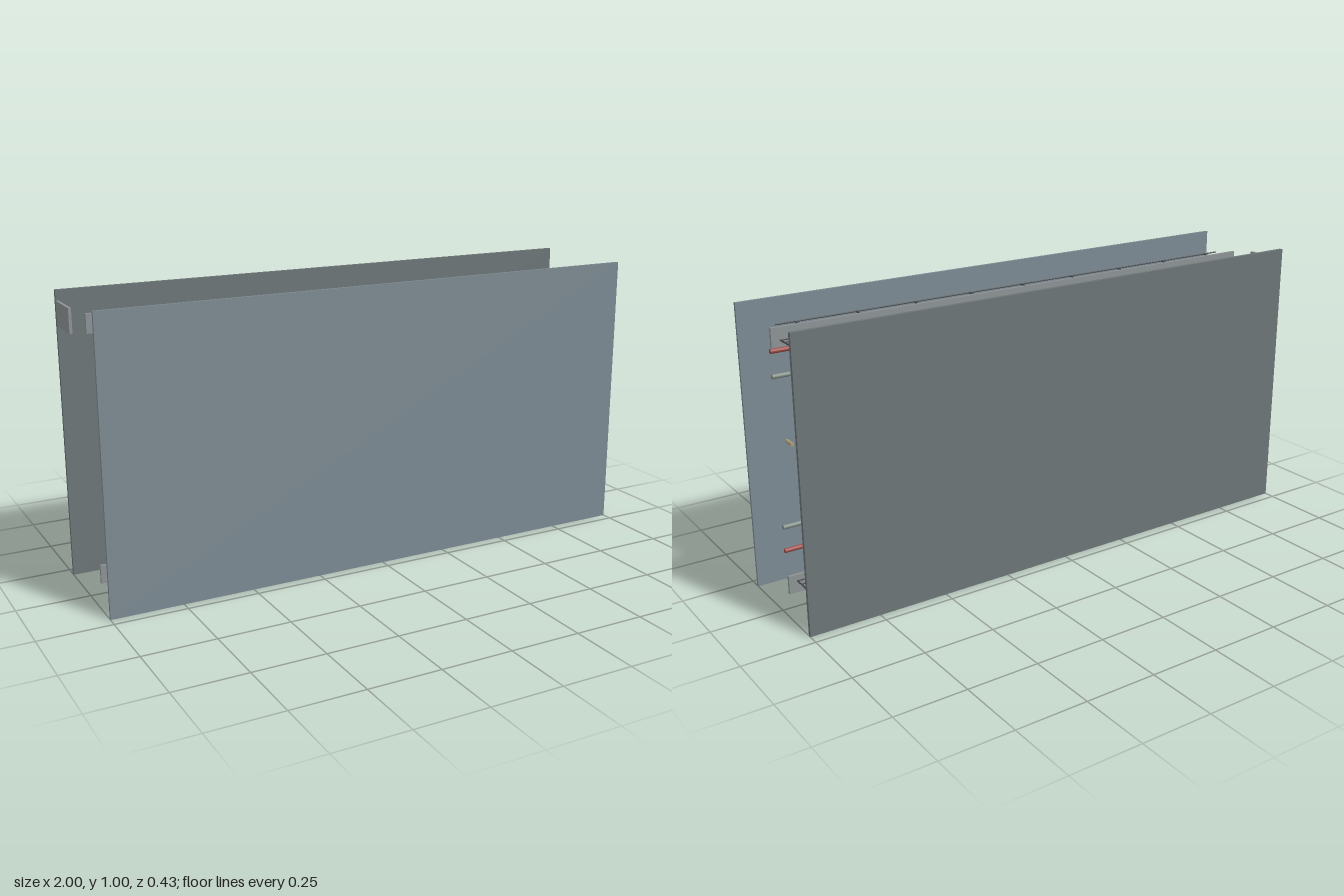
import * as THREE from 'three';

const mat = (color) => new THREE.MeshStandardMaterial({ color });

export function createModel() {
  const model = new THREE.Group();
  const frontMat = mat(0x7c8a92), wallMat = mat(0x6c7577), steel = mat(0x96a1a4), paleSteel = mat(0xa6afb3);
  const frameMat = mat(0x8c9294), dark = mat(0x4a4d50), red = mat(0x9c4a46), greyPipe = mat(0x7e8a84);
  const clampMat = mat(0x5e3434), brass = mat(0xa89a78);

  function add(name, geometry, material, x, y, z) {
    const mesh = new THREE.Mesh(geometry, material);
    mesh.name = name;
    mesh.position.set(x, y, z);
    model.add(mesh);
    return mesh;
  }
  const box = (name, w, h, d, m, x, y, z) => add(name, new THREE.BoxGeometry(w, h, d), m, x, y, z);
  // Cylinder lying along x
  const drum = (name, r, length, m, x, y, z, sides = 32) =>
    add(name, new THREE.CylinderGeometry(r, r, length, sides).rotateZ(Math.PI / 2), m, x, y, z);
  // Evenly spaced positions centred on zero
  const spread = (count, step) => Array.from({ length: count }, (_, i) => (i - (count - 1) / 2) * step);

  // Outer skin and inner wall
  box('frontPanel', 2, 1, 0.01, frontMat, 0, 0.5, 0.209);
  box('backWall', 2, 1, 0.013, wallMat, 0, 0.5, -0.2055);
  box('endPlate', 0.01, 0.084, 0.144, frameMat, -0.995, 0.922, -0.128);

  // Tanks and the segmented duct above them
  for (const x of spread(4, 0.4275)) {
    drum('tank', 0.117, 0.315, steel, x, 0.272, -0.036, 40);
    drum('ductSegment', 0.039, 0.406, paleSteel, x, 0.645, -0.127);
  }
  for (const x of spread(3, 0.499)) drum('upperDrum', 0.064, 0.14, paleSteel, x, 0.867, -0.127);

  for (const x of spread(5, 0.358)) {
    // Wall plates with their rollers
    box('wallPlate', 0.287, 0.142, 0.003, frameMat, x, 0.5, -0.195);
    drum('wallRoller', 0.029, 0.054, steel, x, 0.502, -0.166, 24);
    // Floor vents with three slats
    box('floorVent', 0.086, 0.012, 0.112, steel, x, 0.019, -0.1);
    for (const dz of [-0.032, 0, 0.032])
      box('ventSlat', 0.07, 0.003, 0.018, dark, x, 0.0265, -0.096 + dz);
  }

  // Pipe runs with ring clamps
  for (const [y, m] of [[0.845, red], [0.76, greyPipe], [0.23, greyPipe], [0.143, red]]) {
    drum('pipe', 0.008, 1.85, m, 0, y, 0.131, 16);
    for (const x of spread(5, 0.358))
      add('pipeClamp', new THREE.TorusGeometry(0.0155, 0.003, 8, 24).rotateY(Math.PI / 2), clampMat, x, y, 0.131);
  }

  // Standoffs behind the front panel
  for (const x of spread(7, 0.286))
    add('standoff', new THREE.CylinderGeometry(0.007, 0.007, 0.044, 12).rotateX(Math.PI / 2), brass, x, 0.503, 0.182);

  // Walkway beams, handrails and ladders, top and bottom
  for (const side of [1, -1]) {
    const y = (offset) => 0.5 + side * offset;
    box('walkwayBeam', 1.934, 0.064, 0.01, frameMat, 0, 0.5 + side * 0.424, 0.016);
    drum('handrail', 0.0025, 1.85, dark, 0, y(0.448), 0.071, 8);
    for (const x of spread(9, 0.215))
      box('railBracket', 0.004, 0.004, 0.055, dark, x, y(0.448), 0.045);
    for (const x of [0.892, 0.937])
      box('ladderRail', 0.004, 0.004, 0.232, dark, x, y(0.414), -0.064);
    for (const dz of spread(8, 0.029))
      box('ladderRung', 0.045, 0.003, 0.003, dark, 0.9145, y(0.414), -0.064 + dz);
  }
  return model;
}
